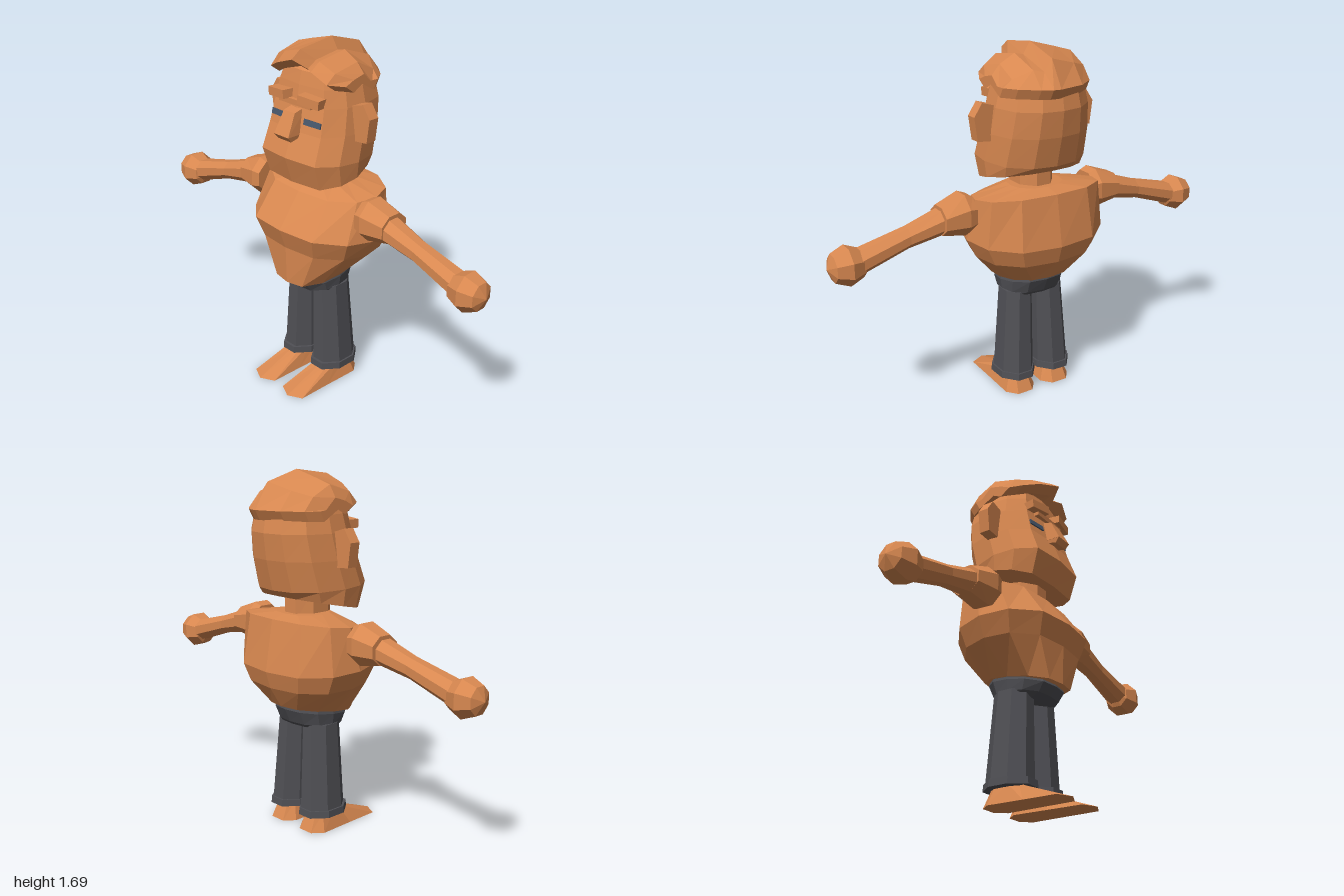
import * as THREE from 'three';

const flat = (name, color) => {
  const m = new THREE.MeshStandardMaterial({ color, flatShading: true });
  m.name = name;
  return m;
};

// Closed, capped skin through rings of equal point count; always faces outward.
function loft(rings) {
  const n = rings[0].length, tris = [];
  for (let r = 0; r + 1 < rings.length; r++) {
    const a = rings[r], b = rings[r + 1];
    for (let i = 0; i < n; i++) {
      const j = (i + 1) % n;
      tris.push([a[i], a[j], b[j]], [a[i], b[j], b[i]]);
    }
  }
  const cap = (ring, end) => {
    const c = [0, 1, 2].map(k => ring.reduce((s, p) => s + p[k], 0) / n);
    for (let i = 0; i < n; i++) {
      const p = ring[i], q = ring[(i + 1) % n];
      tris.push(end ? [c, p, q] : [c, q, p]);
    }
  };
  cap(rings[0], false);
  cap(rings[rings.length - 1], true);
  let volume = 0;
  for (const [p, q, s] of tris) {
    volume += p[0] * (q[1] * s[2] - q[2] * s[1])
            + p[1] * (q[2] * s[0] - q[0] * s[2])
            + p[2] * (q[0] * s[1] - q[1] * s[0]);
  }
  if (volume < 0) tris.forEach(t => t.reverse());
  const g = new THREE.BufferGeometry();
  g.setAttribute('position', new THREE.Float32BufferAttribute(tris.flat(2), 3));
  g.computeVertexNormals();
  return g;
}

// Full outline from its +x half, listed front to back.
const mirrored = half =>
  [...half, ...half.filter(p => p[0] > 0).reverse().map(([x, z]) => [-x, z])];
const ngon = n => Array.from({ length: n }, (_, i) => {
  const a = ((i + 0.5) / n) * Math.PI * 2, k = 1 / Math.cos(Math.PI / n);
  return [Math.sin(a) * k, Math.cos(a) * k];
});
const OCT = ngon(8);
const BODY = mirrored([[0, 1], [0.55, 0.92], [0.9, 0.52], [1, 0], [0.9, -0.52], [0.55, -0.9], [0, -1]]);
const HEAD = mirrored([[0, 1], [0.7, 0.92], [0.95, 0.5], [1, 0], [0.85, -0.58], [0.45, -0.92], [0, -1]]);

// Ring around the y axis, tilted from yFront to yBack.
const ring = (outline, w, zFront, zBack, yFront, yBack = yFront, cx = 0) =>
  outline.map(([x, z]) => [
    cx + x * w,
    (yFront + yBack) / 2 + z * (yFront - yBack) / 2,
    (zFront + zBack) / 2 + z * (zFront - zBack) / 2,
  ]);
// Ring around the x axis.
const sideRing = (x, cy, cz, ry, rz) => OCT.map(([u, v]) => [x, cy + u * ry, cz + v * rz]);

export function createModel() {
  const model = new THREE.Group();
  model.name = 'figure';
  const skin = flat('skin', 0xd88850);
  const trousers = flat('trousers', 0x505055);
  const eyeBlue = flat('eye blue', 0x46566a);
  const add = (name, geometry, material = skin) => {
    const mesh = new THREE.Mesh(geometry, material);
    mesh.name = name;
    model.add(mesh);
    return mesh;
  };

  add('torso', loft([
    ring(BODY, 0.16, 0.2, -0.19, 0.55, 0.61),
    ring(BODY, 0.3, 0.205, -0.255, 0.735, 0.71),
    ring(BODY, 0.345, 0.24, -0.28, 0.835, 0.79),
    ring(BODY, 0.32, 0.12, -0.24, 0.995, 1.03),
    ring(BODY, 0.13, 0.06, -0.16, 1.045, 1.045),
  ]));
  add('neck', loft([
    ring(OCT, 0.09, 0.09, -0.13, 1.01),
    ring(OCT, 0.085, 0.09, -0.13, 1.15),
  ]));
  add('head', loft([
    ring(HEAD, 0.235, 0.16, -0.2, 1.055, 1.13),
    ring(HEAD, 0.245, 0.2, -0.235, 1.18, 1.16),
    ring(HEAD, 0.235, 0.155, -0.27, 1.3),
    ring(HEAD, 0.22, 0.125, -0.285, 1.42),
    ring(HEAD, 0.2, 0.11, -0.27, 1.5),
    ring(HEAD, 0.175, 0.095, -0.23, 1.56),
    ring(HEAD, 0.1, 0.05, -0.15, 1.6),
  ]));

  // Hair sections across x: [x, fringe z, fringe y, crown y, back z]
  add('hair', loft([
    [-0.22, 0.05, 1.535, 1.575, -0.15],
    [-0.185, 0.11, 1.545, 1.63, -0.21],
    [-0.1, 0.15, 1.585, 1.655, -0.275],
    [0.03, 0.18, 1.63, 1.69, -0.305],
    [0.065, 0.12, 1.585, 1.635, -0.3],
    [0.11, 0.145, 1.585, 1.645, -0.275],
    [0.185, 0.125, 1.54, 1.605, -0.21],
    [0.225, 0.05, 1.525, 1.56, -0.15],
  ].map(([x, fz, fy, top, bz]) => [
    [x, fy, fz], [x, fy + (top - fy) * 0.6, fz - 0.05], [x, top, -0.06],
    [x, top - 0.05, bz * 0.76], [x, 1.52, bz], [x, 1.475, bz + 0.025],
    [x, 1.53, -0.03], [x, fy - 0.035, fz - 0.05],
  ])));

  // Nose and brow bridge
  const SQUARE = [[-1, 1], [1, 1], [1, -1], [-1, -1]];
  add('nose', loft([
    ring(SQUARE, 0.042, 0.2, 0.1, 1.265, 1.29),
    ring(SQUARE, 0.046, 0.22, 0.1, 1.29),
    ring(SQUARE, 0.035, 0.17, 0.09, 1.39, 1.41),
  ]));
  add('browBridge', new THREE.BoxGeometry(0.2, 0.025, 0.05)).position.set(0, 1.425, 0.115);

  const earShape = new THREE.Shape([
    [0.19, 1.42], [0.275, 1.445], [0.315, 1.385], [0.3, 1.275], [0.19, 1.265],
  ].map(p => new THREE.Vector2(...p)));
  const ear = new THREE.ExtrudeGeometry(earShape, { depth: 0.055, bevelEnabled: false });

  for (const s of [1, -1]) {
    const side = s > 0 ? 'left' : 'right';

    // Face details
    const brow = add(side + 'Brow', new THREE.BoxGeometry(0.115, 0.04, 0.055));
    brow.position.set(s * 0.098, 1.45, 0.13);
    brow.rotation.set(0, s * 0.15, s * -0.08);
    const eye = add(side + 'Eye', new THREE.BoxGeometry(0.095, 0.026, 0.008), eyeBlue);
    eye.position.set(s * 0.108, 1.35, 0.134);
    eye.rotation.set(-0.245, s * 0.11, 0);
    const earMesh = add(side + 'Ear', ear);
    if (s > 0) earMesh.position.z = -0.06;
    else {
      earMesh.rotation.y = Math.PI;
      earMesh.position.z = -0.005;
    }

    // Arm
    add(side + 'Shoulder', loft([
      sideRing(s * 0.32, 0.94, 0, 0.08, 0.085),
      sideRing(s * 0.36, 0.94, 0, 0.095, 0.095),
      sideRing(s * 0.475, 0.93, -0.005, 0.065, 0.078),
    ]));
    add(side + 'Arm', loft([
      sideRing(s * 0.46, 0.925, 0, 0.058, 0.065),
      sideRing(s * 0.63, 0.88, 0.005, 0.046, 0.05),
      sideRing(s * 0.86, 0.812, 0.012, 0.055, 0.06),
    ]));
    const hand = add(side + 'Hand', new THREE.SphereGeometry(0.092, 8, 4));
    hand.rotation.set(Math.PI / 8, 0, Math.PI / 2);
    hand.position.set(s * 0.908, 0.805, 0.016);

    // Leg
    add(side + 'TrouserLeg', loft([
      ring(OCT, 0.085, 0.09, -0.125, 0.095, 0.095, s * 0.1),
      ring(OCT, 0.07, 0.078, -0.1, 0.52, 0.52, s * 0.083),
    ]), trousers);
    add(side + 'Cuff', loft([
      ring(OCT, 0.094, 0.105, -0.135, 0.075, 0.075, s * 0.1),
      ring(OCT, 0.092, 0.103, -0.132, 0.108, 0.108, s * 0.1),
    ]), trousers);
    const sole = mirrored([[0, 0.3], [0.07, 0.265], [0.074, 0.1], [0.08, -0.08], [0.04, -0.13]]);
    const ankle = mirrored([[0, 0.06], [0.035, 0.055], [0.05, 0.01], [0.05, -0.06], [0.03, -0.09]]);
    const place = (outline, y) => outline.map(([x, z]) => [s * 0.1 + x, y, z]);
    add(side + 'Foot', loft([place(sole, 0), place(ankle, 0.085)]));
  }

  add('waistband', loft([
    ring(BODY, 0.14, 0.08, -0.12, 0.485, 0.51),
    ring(BODY, 0.15, 0.135, -0.135, 0.505, 0.525),
    ring(BODY, 0.157, 0.165, -0.165, 0.545, 0.59),
    ring(BODY, 0.15, 0.155, -0.16, 0.57, 0.62),
  ]), trousers);

  return model;
}
